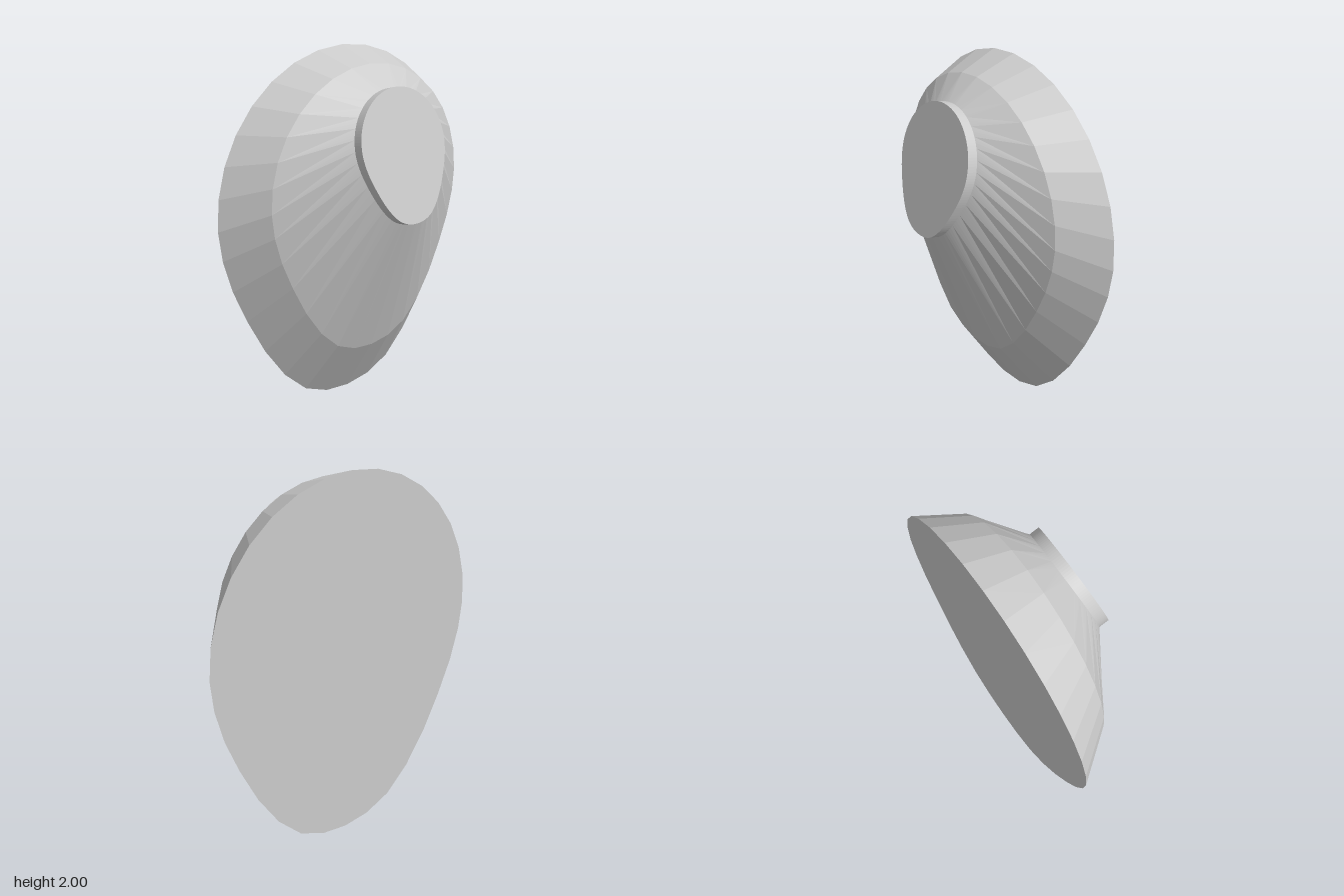
import * as THREE from 'three';

const SIDES = 32, FINE = 128;

// Egg outline: round above the widest line, longer and tapered below it
const lowerDrop = [0, 0.16, 0.34, 0.53, 0.74, 0.93, 1.07, 1.14, 1.16];
const egg = Array.from({ length: SIDES }, (_, i) => {
  const a = (i / SIDES) * Math.PI * 2;
  const half = Math.min(i, SIDES - i);
  const y = half <= 8 ? 0.84 * Math.cos(a) : -lowerDrop[half - 8];
  return new THREE.Vector3(0.8 * Math.sin(a), y, 0);
});
const smoothCurve = new THREE.CatmullRomCurve3(egg, true);
const smoothEgg = Array.from({ length: FINE }, (_, k) => smoothCurve.getPoint(k / FINE));

// Scale an outline, tilt it about x and move it into place
function ring(outline, scale, y, z, tilt = 0) {
  const axis = new THREE.Vector3(1, 0, 0);
  return outline.map((p) => p.clone().multiplyScalar(scale).applyAxisAngle(axis, tilt)
    .add(new THREE.Vector3(0, y, z)));
}

// Triangles between two rings with equal counts; zero-area ones are dropped
function loft(back, front) {
  const out = [];
  back.forEach((a0, k) => {
    const n = (k + 1) % back.length;
    const a1 = back[n], b0 = front[k], b1 = front[n];
    if (a0 !== a1) out.push(a0, b0, a1);
    if (b0 !== b1) out.push(a1, b0, b1);
  });
  return out;
}

function cap(points, facesFront) {
  const c = points.reduce((s, p) => s.add(p), new THREE.Vector3()).divideScalar(points.length);
  return points.flatMap((p, k) => {
    const q = points[(k + 1) % points.length];
    return facesFront ? [c, q, p] : [c, p, q];
  });
}

function addPart(group, name, corners) {
  const geometry = new THREE.BufferGeometry().setFromPoints(corners);
  geometry.computeVertexNormals();
  const mesh = new THREE.Mesh(geometry,
    new THREE.MeshStandardMaterial({ color: 0xcccccc, flatShading: true }));
  mesh.name = name;
  group.add(mesh);
}

export function createModel() {
  const group = new THREE.Group();
  group.name = 'eggShapedKnob';

  const tilt = -Math.atan2(0.17, 0.663);
  const base = ring(egg, 1, 1.16, -0.29);
  const shoulder = ring(egg, 0.785, 1.268, -0.068);
  const padBack = ring(smoothEgg, 0.341, 1.546, 0.139, tilt);
  const padFront = ring(smoothEgg, 0.341, 1.559, 0.19, tilt);

  // Each shoulder corner fans out to several points of the finer pad edge
  const step = FINE / SIDES;
  const shoulderFan = padBack.map((_, k) => shoulder[Math.round(k / step) % SIDES]);

  addPart(group, 'backPlate', cap(base, false));
  addPart(group, 'lowerRim', loft(base, shoulder));
  addPart(group, 'slopingBody', loft(shoulderFan, padBack));
  addPart(group, 'padEdge', loft(padBack, padFront));
  addPart(group, 'padFace', cap(padFront, true));
  return group;
}
